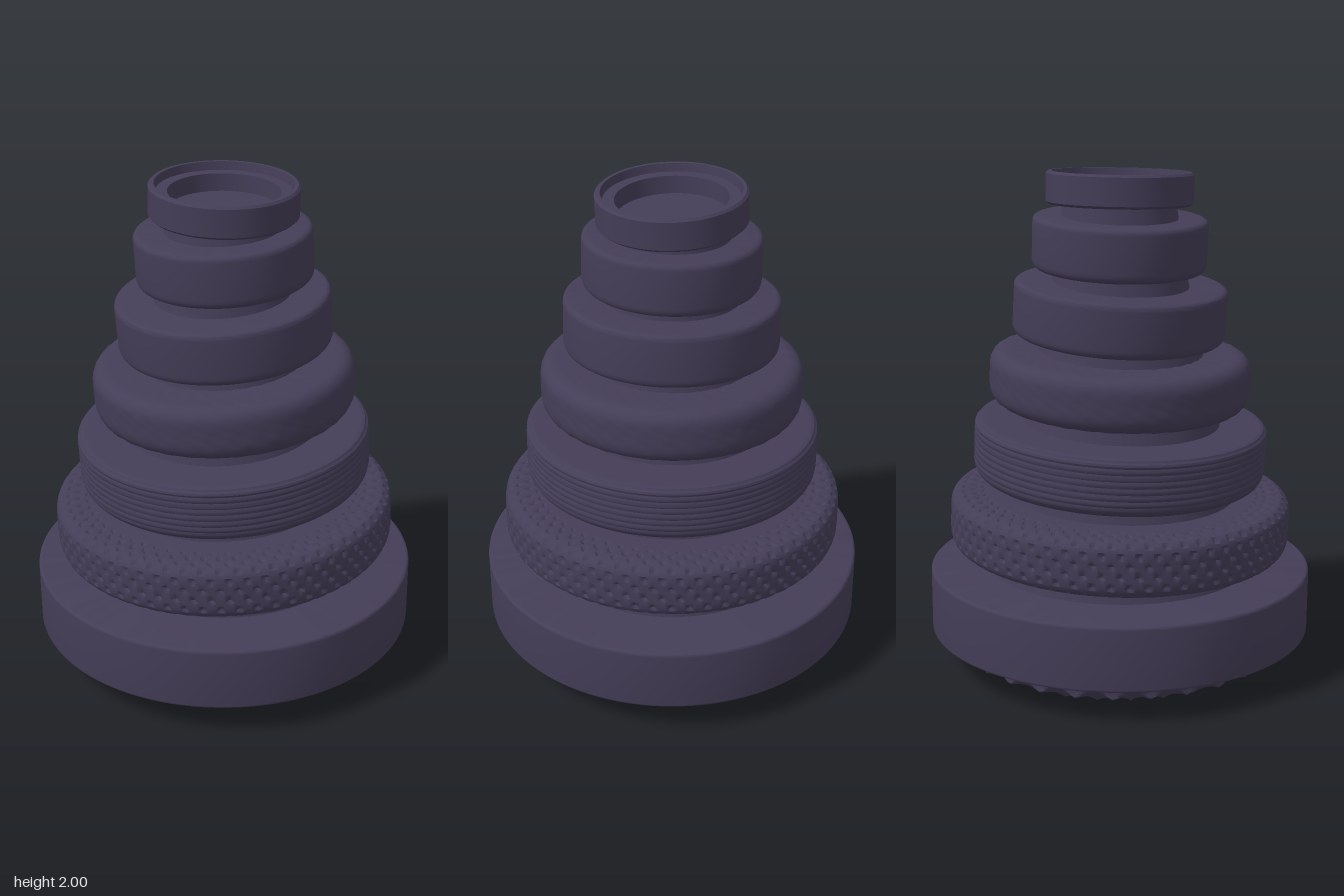
import * as THREE from 'three';
import { toCreasedNormals } from 'three/addons/utils/BufferGeometryUtils.js';

const V = (x, y) => new THREE.Vector2(x, y);

// Push lathe vertices inward along their normals by depth(u, v)
function dent(geo, depth) {
  const { position: p, normal: n, uv } = geo.attributes;
  for (let i = 0; i < p.count; i++) {
    const d = depth(uv.getX(i), uv.getY(i));
    p.setXYZ(i, p.getX(i) - n.getX(i) * d, p.getY(i) - n.getY(i) * d, p.getZ(i) - n.getZ(i) * d);
  }
  return geo;
}

// Distance from (u, v) to the nearest centre of a staggered pattern
function nearest(u, v, count, rows, around, along) {
  let best = Infinity;
  const base = Math.floor(v * rows);
  for (let k = base - 1; k <= base + 1; k++) {
    const a = u * count - (Math.abs(k) % 2) / 2;
    const du = (a - Math.round(a)) * around / count;
    const dv = (v - (k + 0.5) / rows) * along;
    best = Math.min(best, Math.hypot(du, dv));
  }
  return best;
}

// Outline of a disc with rounded lower and upper edges, centred on y = 0
function discPath(inner, r, h, low, high) {
  const path = new THREE.Path();
  path.moveTo(inner, -h / 2);
  path.lineTo(r - low, -h / 2);
  path.quadraticCurveTo(r, -h / 2, r, -h / 2 + low);
  path.lineTo(r, h / 2 - high);
  path.quadraticCurveTo(r, h / 2, r - high, h / 2);
  path.lineTo(inner, h / 2);
  return path;
}

export function createModel() {
  const model = new THREE.Group();
  model.name = 'steppedTower';
  const plum = new THREE.MeshStandardMaterial({ color: 0x443d57 });
  plum.name = 'dark plum';

  function add(name, geo, y = 0, riseX = 0, riseZ = 0, crease = 0.6) {
    const mesh = new THREE.Mesh(toCreasedNormals(geo, crease), plum);
    mesh.name = name;
    mesh.position.y = y;
    mesh.rotation.set(riseZ, 0, riseX);
    model.add(mesh);
  }

  // Honeycombed underside of the base, with dished cells
  const bowl = new THREE.Path([V(0.537, 0), V(0.66, 0.055), V(0.7, 0.15)]).getSpacedPoints(26);
  add('honeycombUnderside', dent(new THREE.LatheGeometry(bowl, 336), (u, v) => {
    const d = nearest(u, v, 28, 3, 3.9, 0.235) / 0.07;
    return 0.022 * Math.max(0, 1 - d * d);
  }));
  const floor = new THREE.CircleGeometry(0.54, 112).rotateX(Math.PI / 2);
  add('baseFloor', floor, 0.001);

  // Tapered core seen as necks between the tiers
  add('core', new THREE.LatheGeometry([
    V(0.545, 0.36), V(0.465, 0.72), V(0.39, 1.04), V(0.325, 1.3), V(0.265, 1.59), V(0.222, 1.865),
  ], 96));

  // Wide base rim
  add('baseRim', new THREE.LatheGeometry(discPath(0.4, 0.775, 0.26, 0.012, 0.015).getPoints(5), 128),
    0.265, 0.006, 0.004);

  // Dimpled tier
  const dimpled = discPath(0.45, 0.69, 0.225, 0.07, 0.06);
  const dimpledLength = dimpled.getLength();
  add('dimpledTier', dent(new THREE.LatheGeometry(dimpled.getSpacedPoints(60), 496), (u, v) => {
    if (v < 0.26 || v > 0.84) return 0;
    const d = nearest(u, v, 62, 16, 4.33, dimpledLength) / 0.015;
    return 0.012 * Math.max(0, 1 - d * d);
  }), 0.59, 0.04, 0.015);

  // Finely grooved tier
  const grooved = discPath(0.38, 0.59, 0.235, 0.07, 0.035);
  add('groovedTier', dent(new THREE.LatheGeometry(grooved.getSpacedPoints(72), 120), (u, v) => {
    const row = Math.round(v * 72);
    return row > 25 && row < 50 && row % 3 === 0 ? 0.004 : 0;
  }), 0.88, 0.052, 0.024);

  // Softly hammered round tier
  const hammered = discPath(0.31, 0.522, 0.215, 0.08, 0.065);
  add('hammeredTier', dent(new THREE.LatheGeometry(hammered.getSpacedPoints(36), 160), (u, v) =>
    0.0015 * Math.sin(u * 2 * Math.PI * 34 + 5 * Math.sin(v * 19)) * Math.sin(v * 60)),
  1.172, 0.056, 0.02, 1);

  // Plain upper tiers: name, inner, radius, height, centre, low and high rounding, tilts
  for (const [name, inner, r, h, y, low, high, rx, rz] of [
    ['fifthTier', 0.25, 0.425, 0.215, 1.443, 0.04, 0.025, 0.075, 0.03],
    ['sixthTier', 0.2, 0.347, 0.21, 1.708, 0.04, 0.025, 0.058, 0.012],
  ]) {
    add(name, new THREE.LatheGeometry(discPath(inner, r, h, low, high).getPoints(6), 96), y, rx, rz);
  }

  // Hollow top ring with an inner ledge and a floor
  add('topRing', new THREE.LatheGeometry([
    V(0.18, -0.065), V(0.28, -0.065), V(0.291, -0.055), V(0.291, 0.054), V(0.282, 0.063),
    V(0.268, 0.063), V(0.262, 0.03), V(0.217, 0.03), V(0.213, -0.04), V(0, -0.04),
  ], 96), 1.925, -0.015, 0.025);

  return model;
}
